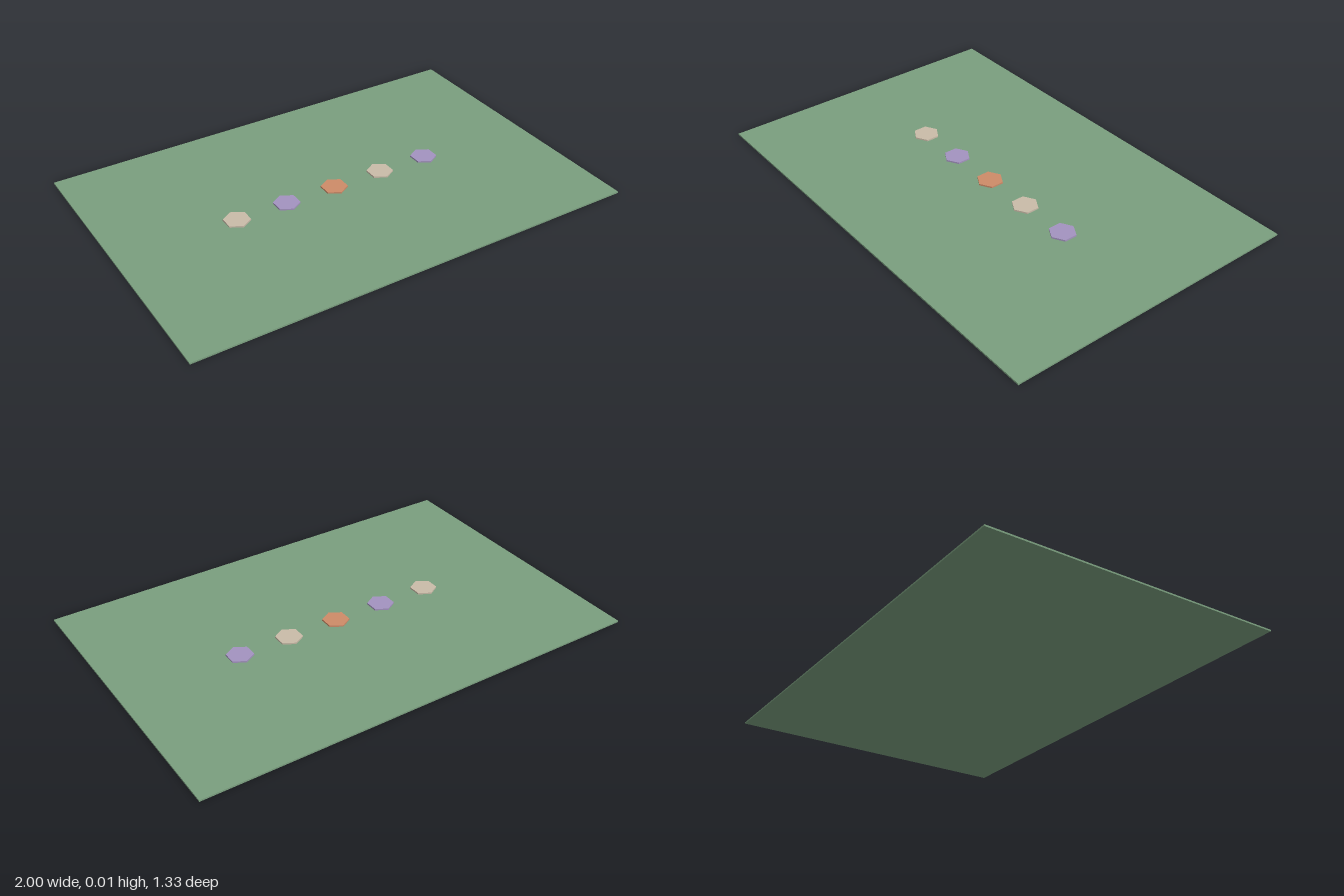
import * as THREE from 'three';

const paint = (name, color) => {
  const material = new THREE.MeshStandardMaterial({ color });
  material.name = name;
  return material;
};

export function createModel() {
  const green = paint('sage green', 0x7a9e7e);
  const cream = paint('cream', 0xc9bba8);
  const purple = paint('lavender', 0xa393bf);
  const orange = paint('terracotta', 0xcd8b68);

  const model = new THREE.Group();
  model.name = 'boardWithTokens';

  // Thin rectangular board
  const thickness = 0.007;
  const board = new THREE.Mesh(new THREE.BoxGeometry(2, thickness, 1.333), green);
  board.name = 'board';
  board.position.y = thickness / 2;
  model.add(board);

  // Row of hexagonal tokens, corners pointing to front and back
  const height = 0.007;
  const hexagon = new THREE.CylinderGeometry(0.058, 0.058, height, 6).toNonIndexed();
  hexagon.computeVertexNormals(); // flat sides
  [cream, purple, orange, cream, purple].forEach((material, i) => {
    const token = new THREE.Mesh(hexagon, material);
    token.name = `token${i + 1}`;
    token.position.set((i - 2) * 0.2333, thickness + height / 2, 0);
    model.add(token);
  });

  return model;
}
